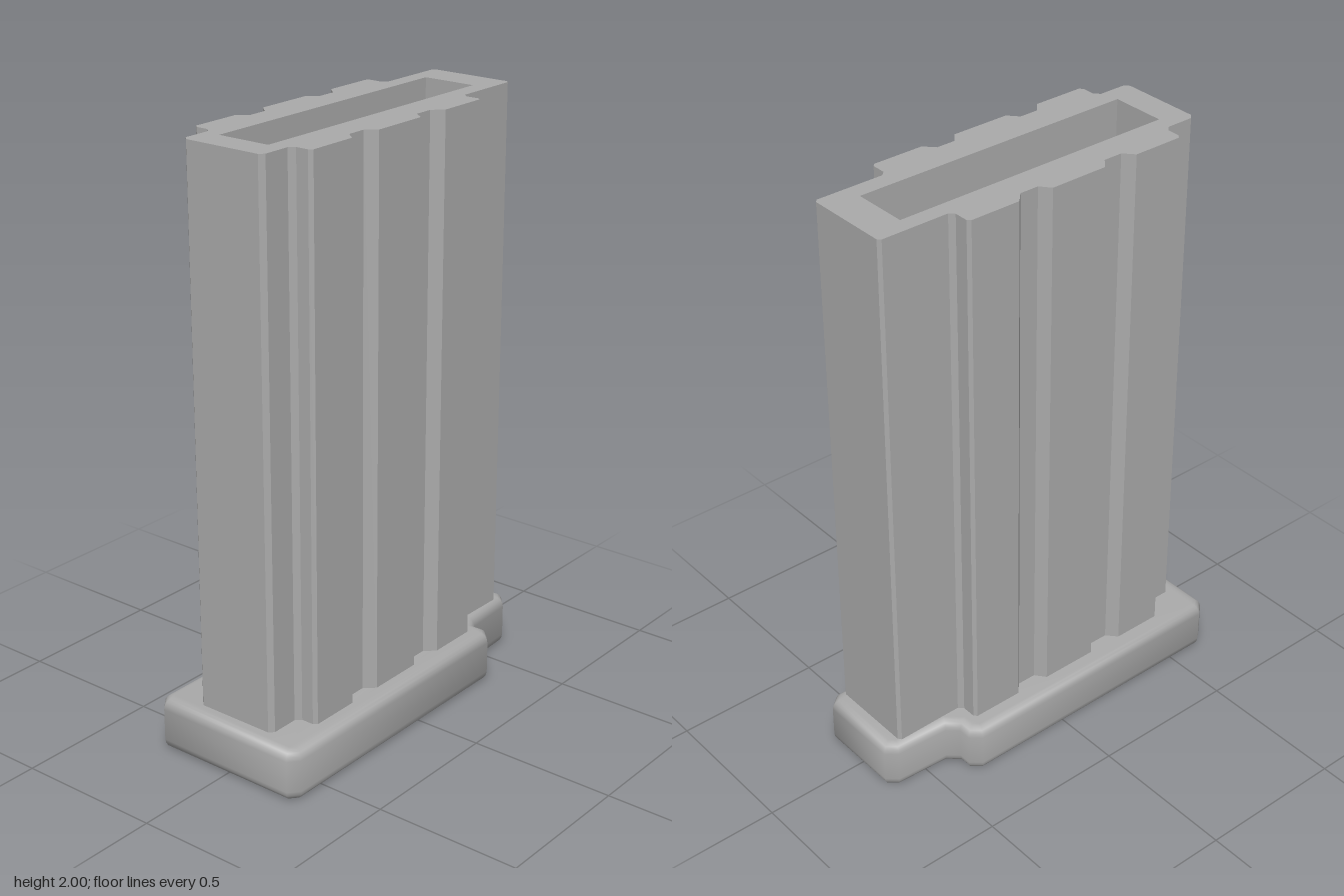
import * as THREE from 'three';
import { toCreasedNormals } from 'three/addons/utils/BufferGeometryUtils.js';

// Closed outline mirrored across the x axis from one half, listed left to right
function mirroredShape(half) {
  const pts = half.map(([x, z]) => new THREE.Vector2(x, -z));
  const other = half.map(([x, z]) => new THREE.Vector2(x, z)).reverse();
  return new THREE.Shape([...pts, ...other]);
}

// Extrude an outline upward from the height y
function extrudeUp(shape, y, options) {
  const g = new THREE.ExtrudeGeometry(shape, options);
  g.rotateX(-Math.PI / 2);
  g.translate(0, y, 0);
  return g;
}

export function createModel() {
  const group = new THREE.Group();
  const grey = new THREE.MeshStandardMaterial({ color: 0xaaaaaa });
  grey.name = 'grey';

  // Ribbed hollow body
  const bodyShape = mirroredShape([
    [-0.595, 0.135], [-0.58, 0.15], [-0.487, 0.15], [-0.47, 0.167],
    [-0.47, 0.21], [-0.46, 0.222], [-0.29, 0.222], [-0.26, 0.188],
    [-0.195, 0.188], [-0.165, 0.222], [0.033, 0.222], [0.06, 0.188],
    [0.125, 0.188], [0.157, 0.222], [0.33, 0.222], [0.34, 0.212],
    [0.34, 0.165], [0.355, 0.15], [0.585, 0.15], [0.595, 0.14],
  ]);
  bodyShape.holes.push(new THREE.Path([
    [-0.5, -0.09], [-0.5, 0.095], [0.48, 0.095], [0.48, -0.09],
  ].map(([x, y]) => new THREE.Vector2(x, y))));
  const body = new THREE.Mesh(
    extrudeUp(bodyShape, 0.17, { depth: 1.83, bevelEnabled: false }), grey);
  body.name = 'body';

  // Rounded base plate with a narrower tab; its top closes the cavity
  const baseShape = mirroredShape([
    [-0.65, 0.255], [-0.615, 0.285], [0.36, 0.285], [0.395, 0.255],
    [0.395, 0.212], [0.43, 0.18], [0.615, 0.17], [0.65, 0.14],
  ]);
  const baseGeometry = extrudeUp(baseShape, 0.035, {
    depth: 0.107, bevelThickness: 0.035, bevelSize: 0.03, bevelOffset: -0.03, bevelSegments: 4,
  });
  const base = new THREE.Mesh(toCreasedNormals(baseGeometry, 0.9), grey);
  base.name = 'basePlate';

  group.add(body, base);
  return group;
}
